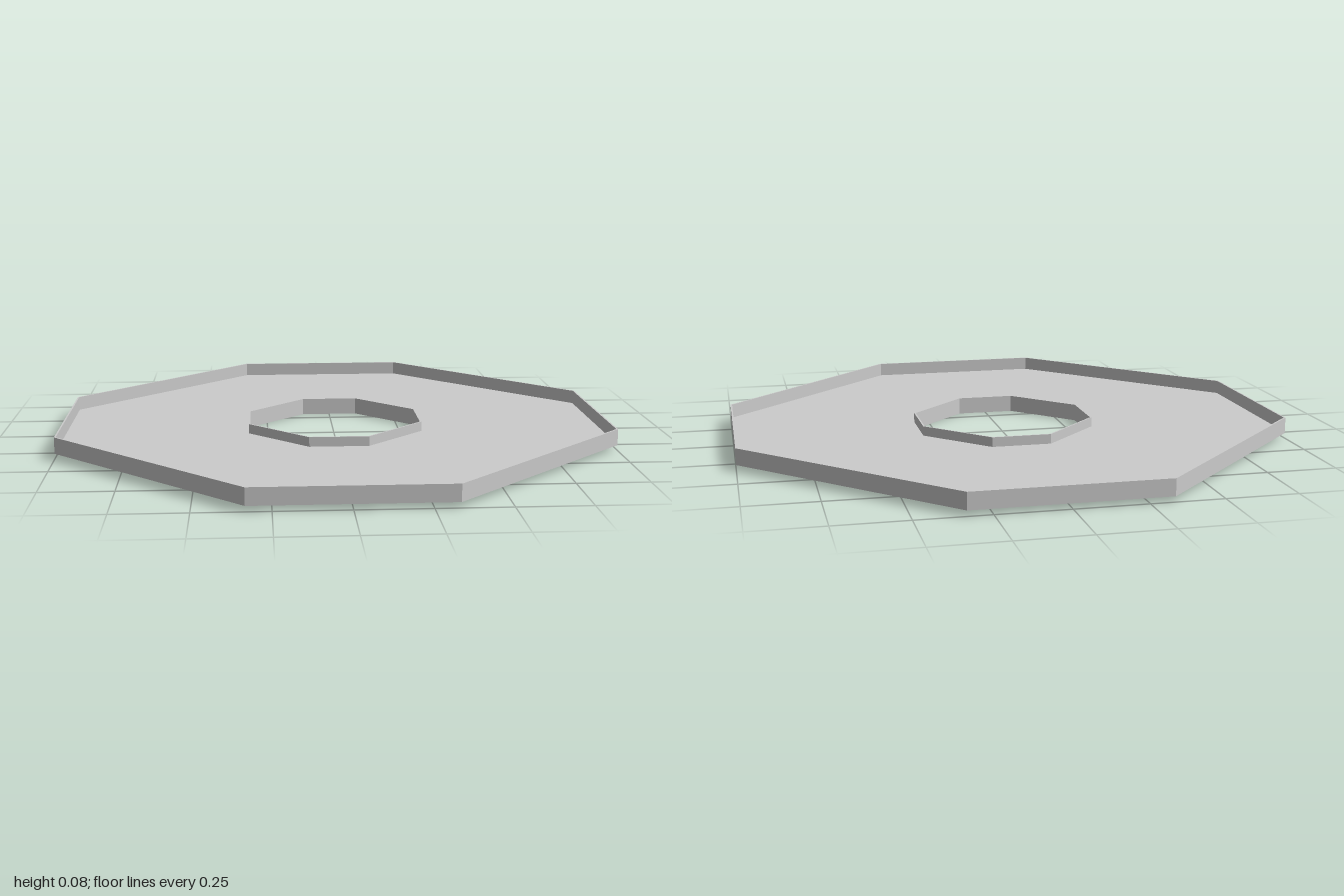
import * as THREE from 'three';

const material = new THREE.MeshStandardMaterial({ color: 0xcccccc, flatShading: true, side: THREE.DoubleSide });

// Octagon of half-width r whose straight sides have half-length c
function octagon(r, c, Type = THREE.Shape) {
  const pts = [[r, -c], [r, c], [c, r], [-c, r], [-r, c], [-r, -c], [-c, -r], [c, -r]];
  return new Type(pts.map(([x, y]) => new THREE.Vector2(x, y)));
}

function roundedRect(w, h, r) {
  const s = new THREE.Shape();
  const x = w / 2 - r, y = h / 2 - r;
  s.absarc(x, y, r, 0, Math.PI / 2);
  s.absarc(-x, y, r, Math.PI / 2, Math.PI);
  s.absarc(-x, -y, r, Math.PI, Math.PI * 1.5);
  s.absarc(x, -y, r, Math.PI * 1.5, Math.PI * 2);
  s.closePath();
  return s;
}

// Flat plan extruded upward from y0 to y1
function slab(name, shape, y0, y1) {
  const geo = new THREE.ExtrudeGeometry(shape, { depth: y1 - y0, bevelEnabled: false, curveSegments: 5 });
  geo.rotateX(-Math.PI / 2).translate(0, y0, 0);
  const mesh = new THREE.Mesh(geo, material);
  mesh.name = name;
  return mesh;
}

// Octagonal plan with an octagonal hole
function ring(outer, inner) {
  const s = octagon(...outer);
  s.holes.push(octagon(...inner, THREE.Path));
  return s;
}

export function createModel() {
  const group = new THREE.Group();
  group.name = 'octagonalTray';

  // Floor with thin upright walls round the outside and round the opening
  group.add(slab('floor', ring([0.997, 0.331], [0.317, 0.106]), 0.02, 0.027));
  group.add(slab('outerRim', ring([1, 0.333], [0.994, 0.33]), 0.019, 0.078));
  group.add(slab('innerCollar', ring([0.32, 0.107], [0.314, 0.105]), 0, 0.062));

  // Two foot pads under each of the four sides
  const feet = new THREE.Group();
  feet.name = 'footPads';
  for (let i = 0; i < 4; i++) {
    const side = new THREE.Group();
    side.name = 'footPadPair';
    side.rotation.y = i * Math.PI / 2;
    for (const d of [0.53, 0.815]) {
      const pad = slab('footPad', roundedRect(0.19, 0.12, 0.03), 0.013, 0.02);
      pad.position.z = d;
      side.add(pad);
    }
    feet.add(side);
  }
  group.add(feet);
  return group;
}
